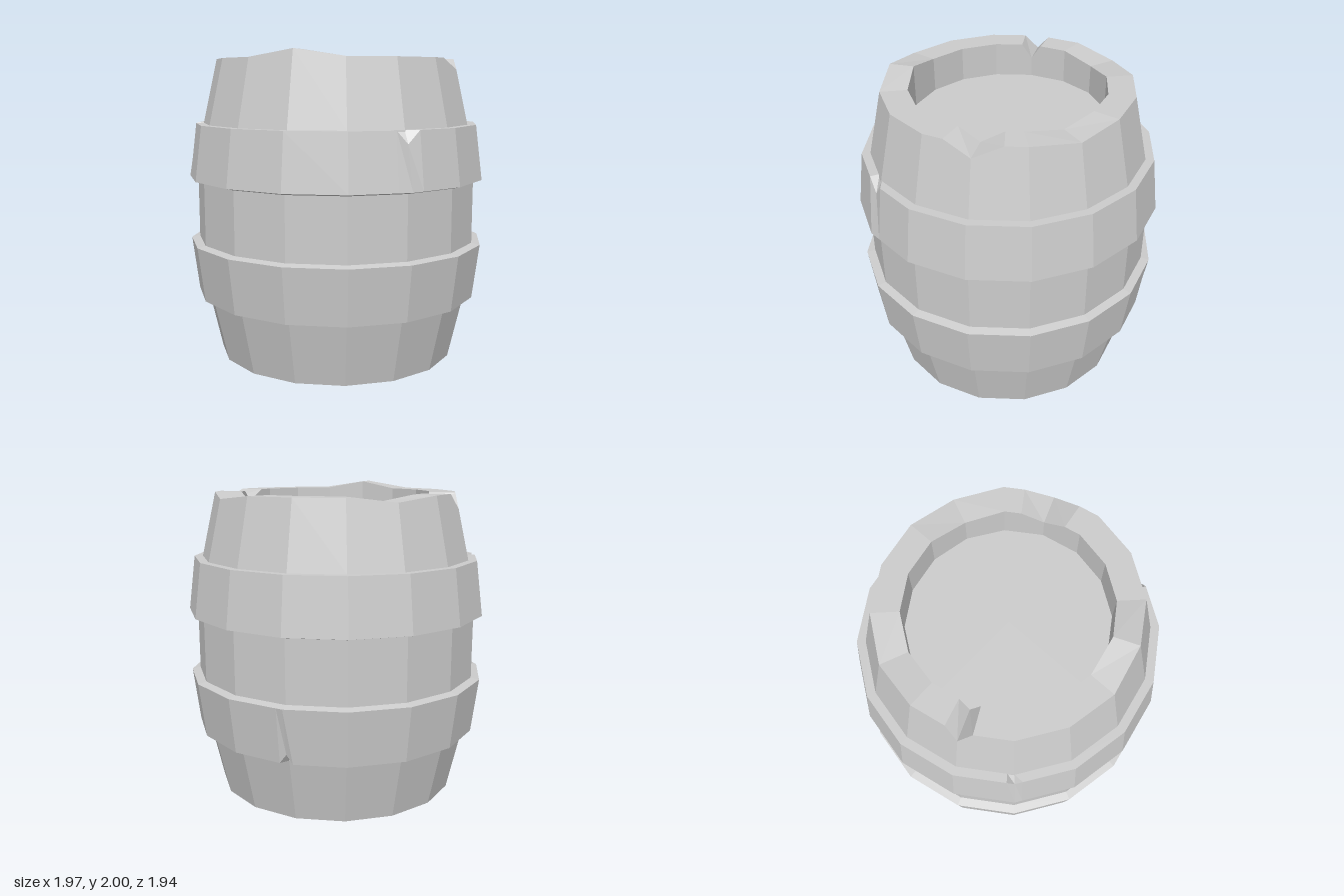
import * as THREE from 'three';

const SIDES = 16;
const STEP = (Math.PI * 2) / SIDES;
const DEPTH = 0.985; // the barrel is slightly narrower in z

// Angles round the barrel. Each dent is { corner, amount, width }: a width adds
// a station on both sides of the corner, so the dent stays local.
function makeStations(dents) {
  const stations = [];
  for (let i = 0; i < SIDES; i++) {
    const dent = dents.find((d) => d.corner === i);
    const width = dent && dent.width;
    if (width) stations.push({ angle: i * STEP - width, amount: 0 });
    stations.push({ angle: i * STEP, amount: dent ? dent.amount : 0 });
    if (width) stations.push({ angle: i * STEP + width, amount: 0 });
  }
  return stations;
}

// Sweeps a profile round the polygon; profile(amount) returns [radius, y] points.
function sweep(name, dents, profile, material) {
  const rings = makeStations(dents).map(({ angle, amount }) => {
    // keep in-between stations on the straight side of the polygon
    const fromMiddle = angle - (Math.floor(angle / STEP + 1e-6) + 0.5) * STEP;
    const k = Math.cos(STEP / 2) / Math.cos(fromMiddle);
    return profile(amount).map(([r, y]) => new THREE.Vector3(
      r * k * Math.cos(angle), y, r * k * Math.sin(angle) * DEPTH));
  });
  const points = [];
  const triangle = (a, b, c) => {
    const area = b.clone().sub(a).cross(c.clone().sub(a)).length();
    if (area > 1e-7) points.push(a, b, c);
  };
  rings.forEach((ring, i) => {
    const next = rings[(i + 1) % rings.length];
    for (let j = 0; j < ring.length - 1; j++) {
      triangle(ring[j], ring[j + 1], next[j + 1]);
      triangle(ring[j], next[j + 1], next[j]);
    }
  });
  const geometry = new THREE.BufferGeometry().setFromPoints(points);
  geometry.computeVertexNormals();
  const mesh = new THREE.Mesh(geometry, material);
  mesh.name = name;
  return mesh;
}

export function createModel() {
  const group = new THREE.Group();
  group.name = 'barrel';
  const material = new THREE.MeshStandardMaterial({ color: 0xcccccc, flatShading: true });

  // Staves with recessed lid and base; the rim is chipped and has one raised corner
  const rimDents = [
    { corner: 3, amount: 0.045 },
    { corner: 7, amount: -0.095, width: 0.105 },
    { corner: 9, amount: -0.03 },
    { corner: 13, amount: -0.03 },
    { corner: 15, amount: -0.07, width: 0.227 },
  ];
  group.add(sweep('body', rimDents, (amount) => [
    [0, 0.22], [0.62, 0.22], [0.62, 0],
    [0.79, 0], [0.885, 0.415], [0.93, 0.77],
    [0.93, 1.185], [0.885, 1.54], [0.79 - amount * 0.23, 1.955 + amount],
    [0.62, 1.955 + amount], [0.62, 1.735], [0, 1.735],
  ], material));

  // Hoops, each nicked along its narrow edge
  group.add(sweep('lowerHoop', [{ corner: 11, amount: 0.055, width: 0.045 }], (amount) => [
    [0.88, 0.415], [0.94 - amount * 0.2, 0.415 + amount], [0.985, 0.768], [0.925, 0.78],
  ], material));

  const upperDents = [
    { corner: 1, amount: -0.08, width: 0.085 },
    { corner: 6, amount: -0.06, width: 0.05 },
  ];
  group.add(sweep('upperHoop', upperDents, (amount) => [
    [0.925, 1.175], [0.985, 1.19], [0.94 + amount * 0.2, 1.54 + amount], [0.88, 1.54],
  ], material));

  return group;
}
